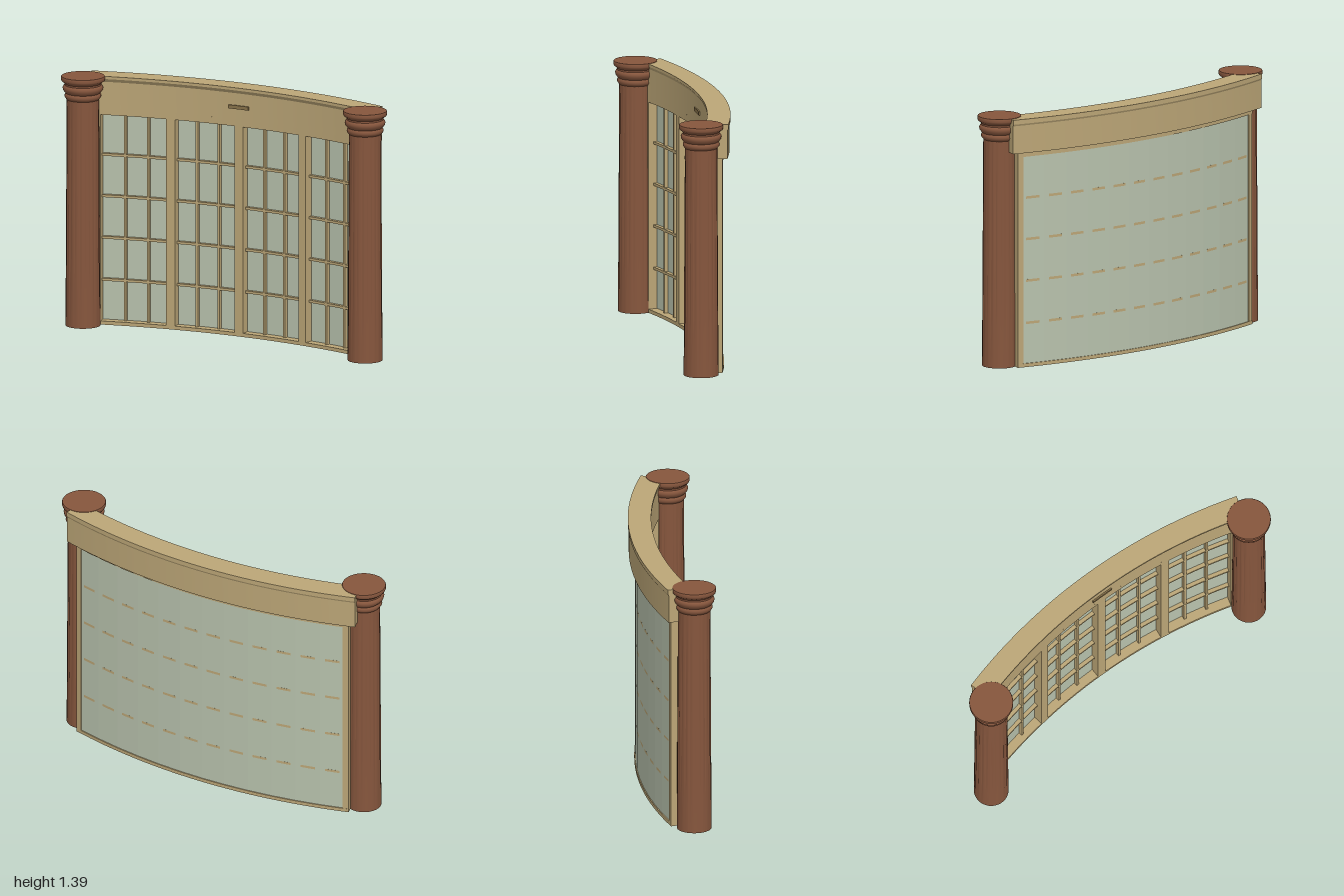
import * as THREE from 'three';
import { mergeGeometries, toCreasedNormals } from 'three/addons/utils/BufferGeometryUtils.js';

const CENTRE_Z = 2.93; // centre of the curved wall's plan circle

export function createModel() {
  const model = new THREE.Group();
  model.name = 'curvedWindowWall';

  const mat = (name, color) => {
    const m = new THREE.MeshStandardMaterial({ color });
    m.name = name;
    return m;
  };
  const wood = mat('redBrownWood', 0x86563d);
  const tan = mat('tanFrame', 0xbca677);
  const glass = mat('paleGreenGlass', 0xb9c3ae);
  const bronze = mat('darkPlate', 0x8a744c);

  const add = (parent, geo, material, name) => {
    const mesh = new THREE.Mesh(geo, material);
    mesh.name = name;
    parent.add(mesh);
    return mesh;
  };

  // Sweep a closed [radius, y] profile (counterclockwise) along the wall arc, with end caps
  const sweep = (profile, mid, half, segs, crease = 0.4) => {
    const pts = profile.map(([r, y]) => new THREE.Vector2(r, y));
    const start = Math.PI - mid - half;
    const parts = [new THREE.LatheGeometry([...pts, pts[0].clone()], segs, start, half * 2)];
    for (const end of [0, 1]) {
      const cap = new THREE.ShapeGeometry(new THREE.Shape(pts));
      if (end) cap.setIndex([...cap.index.array].reverse());
      cap.rotateY(start + end * half * 2 - Math.PI / 2);
      parts.push(cap);
    }
    return toCreasedNormals(mergeGeometries(parts), crease).translate(0, 0, CENTRE_Z);
  };
  const rect = (r0, r1, y0, y1) => [[r0, y0], [r1, y0], [r1, y1], [r0, y1]];

  // Curved wall
  const wall = new THREE.Group();
  wall.name = 'wall';
  model.add(wall);
  const HALF = 0.28, BAY = 0.1365, FRONT = 3.015;

  add(wall, sweep(rect(FRONT, 3.095, 0, 0.02), 0, HALF, 48), tan, 'sill');
  add(wall, sweep(rect(FRONT, 3.095, 1.172, 1.21), 0, HALF, 48), tan, 'topRail');
  add(wall, sweep([
    [FRONT, 1.2], [3.125, 1.2], [3.125, 1.355], [3.13, 1.365], [3.13, 1.39],
    [3.003, 1.39], [3.003, 1.375], [FRONT, 1.357],
  ], 0, 0.294, 64, 0.3), tan, 'header');
  add(wall, sweep(rect(3.007, 3.02, 1.27, 1.29), 0, 0.021, 4), bronze, 'headerPlate');

  // Glass in flat strips
  add(wall, sweep(rect(3.068, 3.09, 0.02, 1.172), 0, 0.273, 12, 0.02), glass, 'glass');

  // Posts between the bays
  for (let i = -2; i <= 2; i++) {
    const edge = Math.abs(i) === 2;
    const mid = edge ? Math.sign(i) * 0.2745 : i * BAY;
    add(wall, sweep(rect(FRONT, edge ? 3.094 : 3.0885, 0.01, 1.18),
      mid, edge ? 0.0055 : 0.0083, 2), tan, 'post');
  }

  // Glazing bars: two uprights per bay and four curved rails
  for (let bay = 0; bay < 4; bay++) {
    for (const k of [-1, 1]) {
      const mid = (bay - 1.5) * BAY + k * 0.0215;
      add(wall, sweep(rect(3.046, 3.0895, 0.02, 1.172), mid, 0.0022, 1), tan, 'uprightBar');
    }
  }
  for (const y of [0.245, 0.48, 0.712, 0.943]) {
    add(wall, sweep(rect(3.046, 3.0895, y - 0.007, y + 0.007), 0, 0.272, 48), tan, 'crossBar');
  }

  // Fluted shaft: shallow grooves fading out at both ends
  const shaft = new THREE.CylinderGeometry(0.088, 0.095, 1.28, 120, 12).translate(0, 0.64, 0);
  const p = shaft.attributes.position;
  for (let i = 0; i < p.count; i++) {
    const x = p.getX(i), y = p.getY(i), z = p.getZ(i);
    const fade = Math.min(1, Math.max(0, y * 4)) * Math.min(1, Math.max(0, (1.28 - y) * 9));
    const groove = Math.max(0, Math.cos(20 * Math.atan2(z, x)));
    const k = 1 - 0.035 * fade * groove;
    p.setXYZ(i, x * k, y, z * k);
  }
  const shaftGeo = toCreasedNormals(shaft, 0.6);

  // Turned capital
  const capital = toCreasedNormals(new THREE.LatheGeometry([
    [0.086, 1.26], [0.095, 1.27], [0.1, 1.278], [0.099, 1.29], [0.093, 1.298],
    [0.099, 1.303], [0.108, 1.315], [0.111, 1.328], [0.107, 1.338], [0.1, 1.343],
    [0.1, 1.352], [0.108, 1.36], [0.117, 1.366], [0.12, 1.374], [0.12, 1.388],
    [0.118, 1.392], [0, 1.392],
  ].map(([r, y]) => new THREE.Vector2(r, y)), 48), 0.7);

  for (const side of [1, -1]) {
    const column = new THREE.Group();
    column.name = side > 0 ? 'leftColumn' : 'rightColumn';
    column.position.set(side * 0.88, 0, 0.08);
    add(column, shaftGeo, wood, 'shaft');
    add(column, capital, wood, 'capital');
    model.add(column);
  }
  return model;
}
